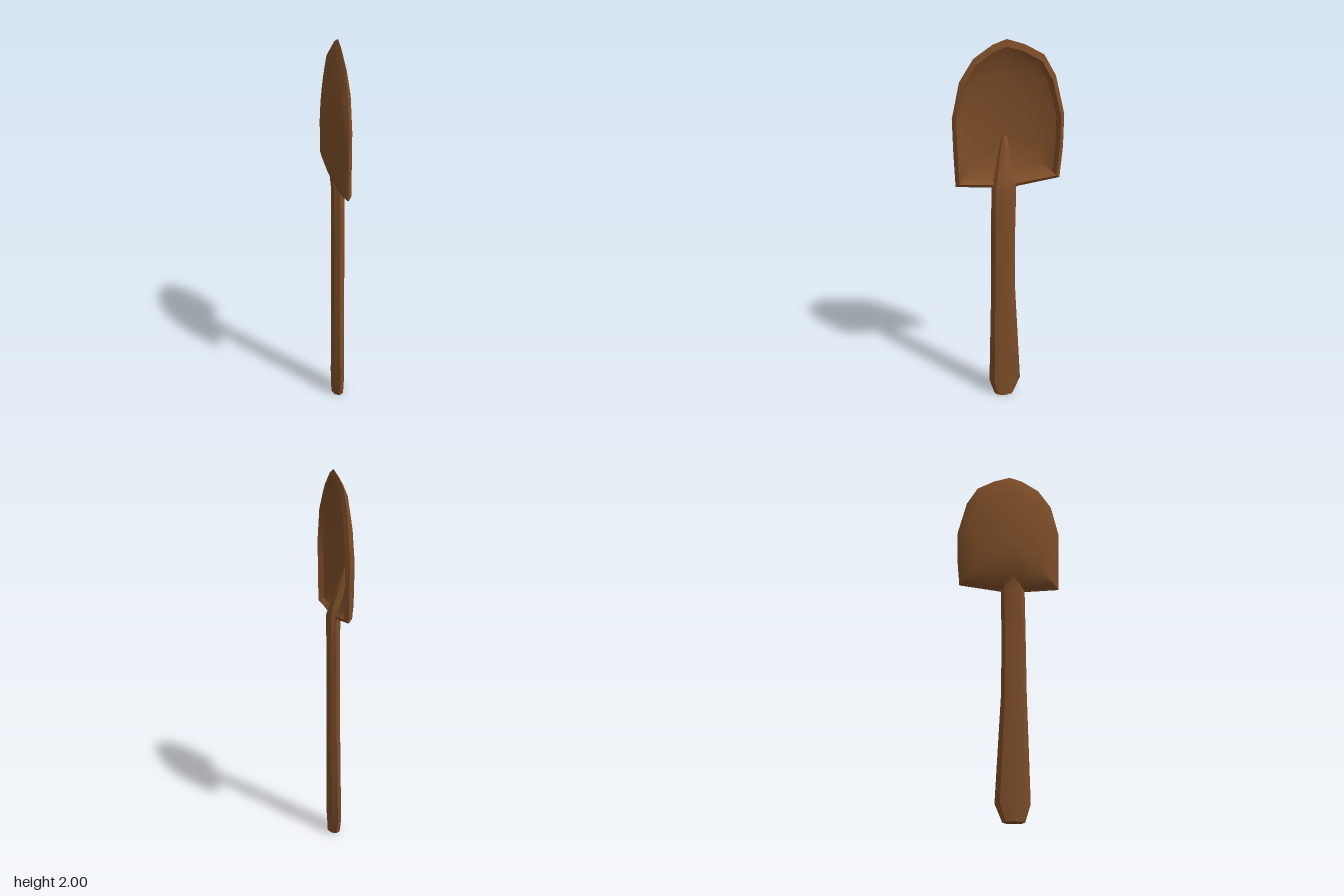
import * as THREE from 'three';
import { toCreasedNormals } from 'three/addons/utils/BufferGeometryUtils.js';

// Skin a sequence of equal-length rings of Vector3; the end rings may be single points repeated.
function loft(rings) {
  const pos = [];
  const tri = (a, b, c) => {
    const area = b.clone().sub(a).cross(c.clone().sub(a)).length();
    if (area > 1e-9) for (const v of [a, b, c]) pos.push(v.x, v.y, v.z);
  };
  for (let r = 0; r < rings.length - 1; r++) {
    const lo = rings[r], hi = rings[r + 1], n = lo.length;
    for (let i = 0; i < n; i++) {
      const j = (i + 1) % n;
      tri(lo[i], hi[i], lo[j]);
      tri(hi[i], hi[j], lo[j]);
    }
  }
  const geo = new THREE.BufferGeometry();
  geo.setAttribute('position', new THREE.Float32BufferAttribute(pos, 3));
  return toCreasedNormals(geo, 0.5);
}

export function createModel() {
  const group = new THREE.Group();
  group.name = 'shovel';
  const material = new THREE.MeshStandardMaterial({ color: 0x7d4d28 });

  const add = (name, rings) => {
    const mesh = new THREE.Mesh(loft(rings), material);
    mesh.name = name;
    group.add(mesh);
  };

  // Octagonal handle, flared at the grip and tapering to a spine on the blade
  // [y, centre x, centre z, radius x, radius z]
  const handle = [
    [0, 0.02, 0.028, 0, 0],
    [0, 0.02, 0.028, 0.035, 0.055],
    [0.09, 0.02, 0.023, 0.036, 0.088],
    [0.66, 0.02, 0.031, 0.036, 0.066],
    [1.0, 0.02, 0.03, 0.036, 0.064],
    [1.25, 0.02, 0.026, 0.036, 0.065],
    [1.31, 0.008, 0.025, 0.03, 0.047],
    [1.4, -0.022, 0.018, 0.028, 0.035],
    [1.5, -0.043, 0.01, 0.012, 0.015],
    [1.5, -0.043, 0.01, 0, 0],
  ];
  add('handle', handle.map(([y, cx, cz, rx, rz]) =>
    Array.from({ length: 8 }, (_, i) => {
      const a = (i / 8) * Math.PI * 2;
      return new THREE.Vector3(cx + rx * Math.cos(a), y, cz + rz * Math.sin(a));
    })));

  // Blade outline as [z, y]
  const outline = [
    [0.01, 1.25], [0.1, 1.25], [0.275, 1.265], [0.282, 1.45], [0.285, 1.62], [0.245, 1.8],
    [0.175, 1.91], [0.08, 1.975], [0.01, 2.0], [-0.08, 1.972], [-0.175, 1.92],
    [-0.235, 1.815], [-0.282, 1.62], [-0.28, 1.45], [-0.265, 1.285], [-0.04, 1.25],
  ];
  // Dish profile [scale of outline, x], from the back centre over the rim to the inner centre
  const dish = [
    [0, -0.06], [0.28, -0.054], [0.5, -0.043], [0.7, -0.027], [0.92, -0.002], [1, 0.022],
    [0.93, 'rim'], [0.87, 0.012], [0.7, -0.01], [0.5, -0.026], [0.28, -0.036], [0, -0.042],
  ];
  add('blade', dish.map(([s, x]) => outline.map(([z, y]) => {
    const px = x === 'rim' ? 0.028 + 0.012 * Math.min(1, Math.abs(z) / 0.26) ** 2 : x;
    return new THREE.Vector3(px, 1.5 + (y - 1.5) * s, 0.01 + (z - 0.01) * s);
  })));

  return group;
}
